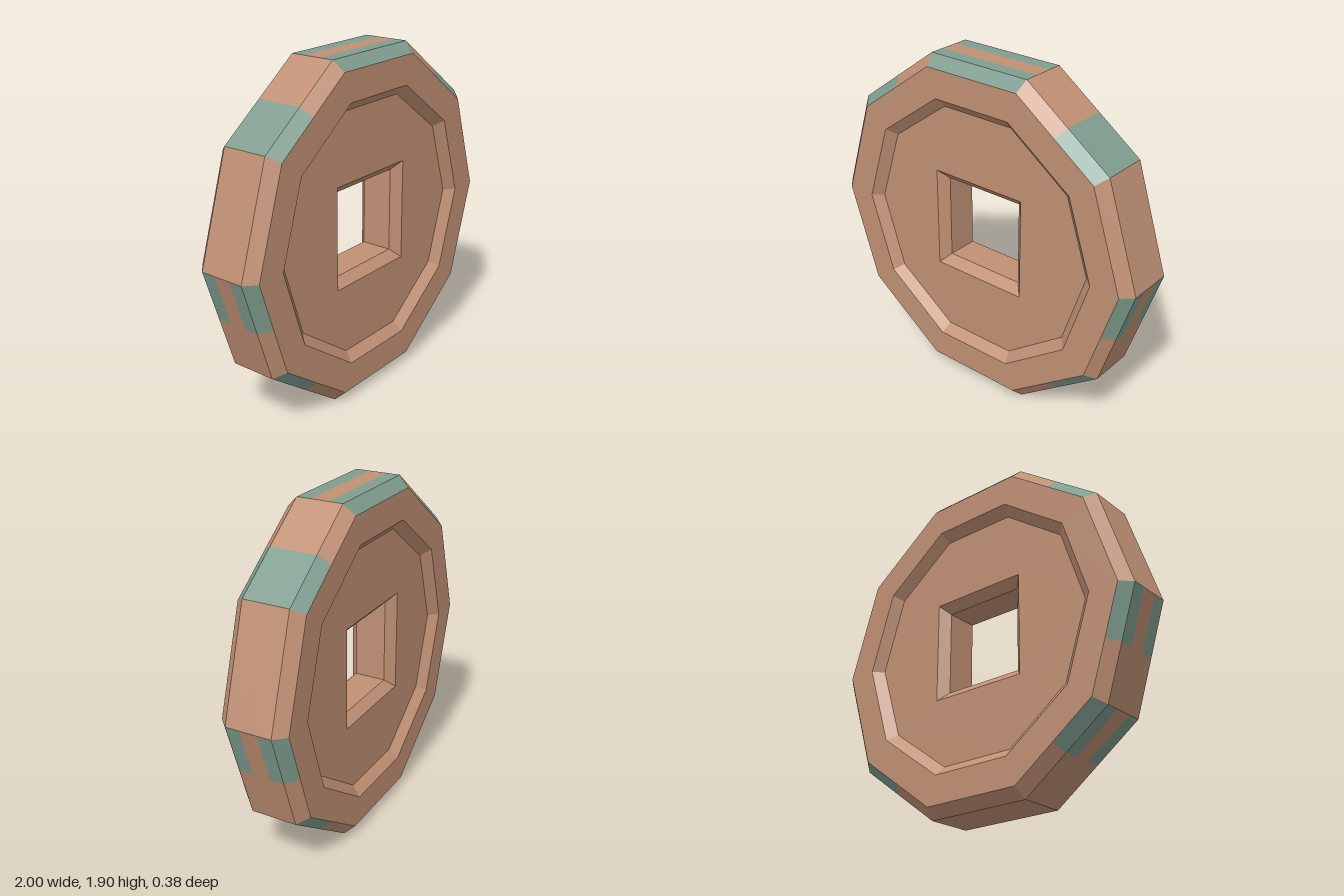
import * as THREE from 'three';

const SIDES = 10;
const CENTER_Y = Math.cos(Math.PI / SIDES); // decagon with corners on the x axis

// Patina patches: facet number -> [start, end, true if the mid-edge stays bare]
const PATINA = {
  1: [0, 0.5, false], 3: [0.5, 1, false], 2: [0, 1, true],
  9: [0.5, 1, true], 5: [0, 0.5, true],
  8: [0.5, 1, true], 6: [0, 0.5, true],
};

const corner = (i, r, z) => {
  const a = (i / SIDES) * Math.PI * 2;
  return new THREE.Vector3(Math.cos(a) * r, Math.sin(a) * r, z);
};
const decagon = (r, z) => Array.from({ length: SIDES }, (_, i) => corner(i, r, z));
const square = (h, z) => [[1, -1], [1, 1], [-1, 1], [-1, -1]]
  .map(([x, y]) => new THREE.Vector3(x * h, y * h, z));

const pushQuad = (out, a, b, c, d) => {
  for (const p of [a, b, c, a, c, d]) out.push(p.x, p.y, p.z);
};

function meshFrom(positions, material, name) {
  const g = new THREE.BufferGeometry();
  g.setAttribute('position', new THREE.Float32BufferAttribute(positions, 3));
  g.computeVertexNormals(); // unshared corners give flat facets
  const m = new THREE.Mesh(g, material);
  m.name = name;
  return m;
}

// Joins an outer loop to the next inner loop
function band(outer, inner, material, name) {
  const out = [];
  outer.forEach((p, i) => {
    const j = (i + 1) % outer.length;
    pushQuad(out, p, outer[j], inner[j], inner[i]);
  });
  return meshFrom(out, material, name);
}

export function createModel() {
  const bronze = new THREE.MeshStandardMaterial({ color: 0xc09074 });
  bronze.name = 'bronze';
  const patina = new THREE.MeshStandardMaterial({ color: 0x7f9d8f });
  patina.name = 'patina';

  const half = new THREE.Group();
  half.name = 'frontHalf';

  // Outer edge and its chamfer, split where the patina begins and ends
  const profile = [[1, 0], [1, 0.05], [1, 0.13], [0.94, 0.19]];
  const bare = [], aged = [];
  for (let i = 0; i < SIDES; i++) {
    const patch = PATINA[i];
    for (let k = 0; k < profile.length - 1; k++) {
      const [r0, z0] = profile[k], [r1, z1] = profile[k + 1];
      const a0 = corner(i, r0, z0), a1 = corner(i + 1, r0, z0);
      const b0 = corner(i, r1, z1), b1 = corner(i + 1, r1, z1);
      for (const [s, e] of [[0, 0.5], [0.5, 1]]) {
        const green = patch && s >= patch[0] && e <= patch[1] && !(patch[2] && k === 0);
        pushQuad(green ? aged : bare,
          a0.clone().lerp(a1, s), a0.clone().lerp(a1, e),
          b0.clone().lerp(b1, e), b0.clone().lerp(b1, s));
      }
    }
  }
  half.add(meshFrom(bare, bronze, 'outerEdge'), meshFrom(aged, patina, 'edgePatina'));

  // Raised border and the sloped step down to the recess
  half.add(band(decagon(0.94, 0.19), decagon(0.77, 0.19), bronze, 'raisedBorder'));
  half.add(band(decagon(0.77, 0.19), decagon(0.715, 0.14), bronze, 'recessStep'));

  // Recessed field with the square opening
  const field = new THREE.Shape(decagon(0.715, 0).map((p) => new THREE.Vector2(p.x, p.y)));
  field.holes.push(new THREE.Path(square(0.29, 0).map((p) => new THREE.Vector2(p.x, p.y))));
  const floor = new THREE.Mesh(new THREE.ShapeGeometry(field), bronze);
  floor.name = 'recessedField';
  floor.position.z = 0.14;
  half.add(floor);

  // Chamfer and inside walls of the square hole
  half.add(band(square(0.29, 0.14), square(0.24, 0.09), bronze, 'holeChamfer'));
  half.add(band(square(0.24, 0.09), square(0.24, 0), bronze, 'holeWall'));

  // The back repeats the front
  const back = half.clone();
  back.name = 'backHalf';
  back.rotation.y = Math.PI;

  const model = new THREE.Group();
  model.name = 'squareHoledCoin';
  half.position.y = back.position.y = CENTER_Y;
  model.add(half, back);
  return model;
}
